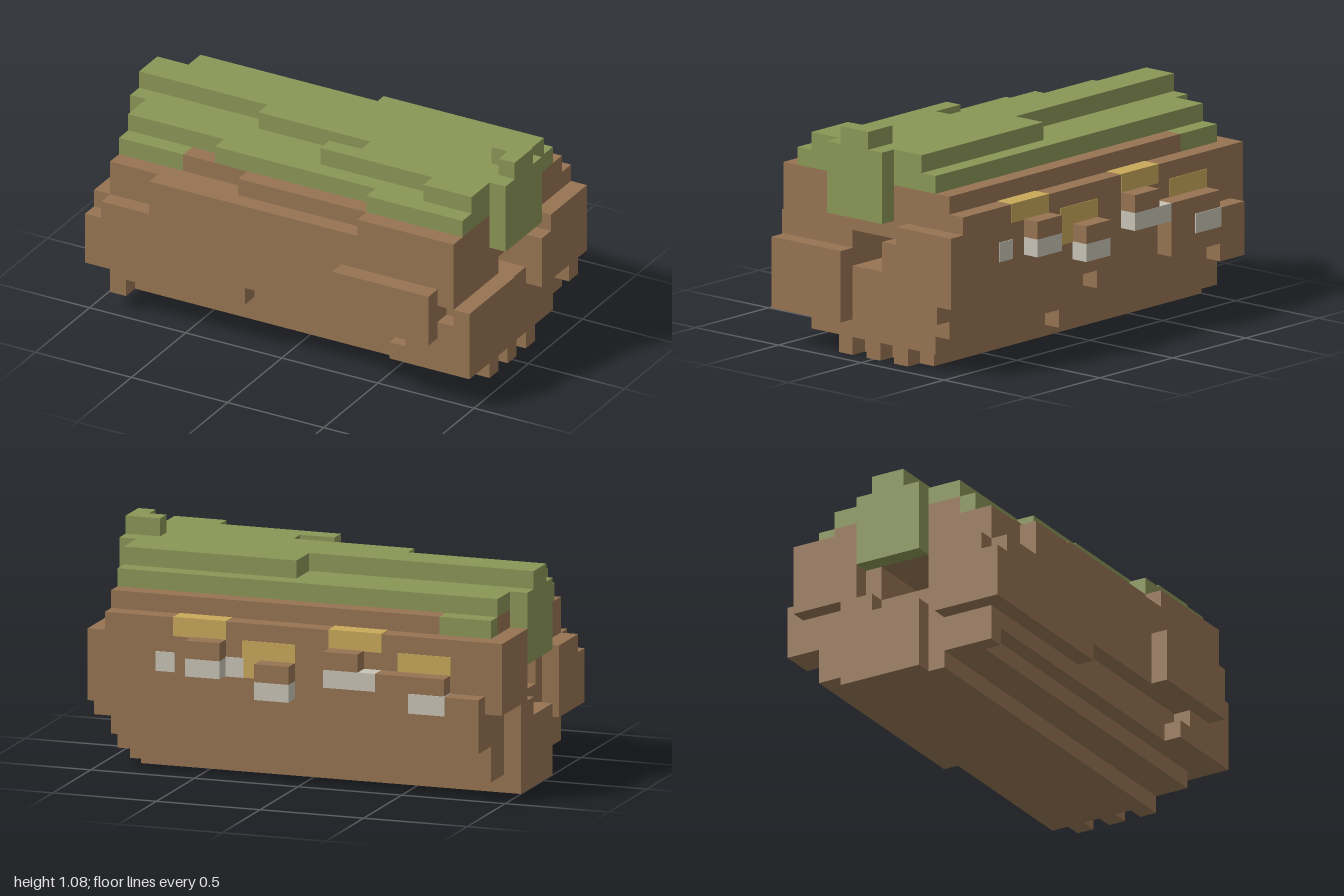
import * as THREE from 'three';
import { mergeGeometries } from 'three/addons/utils/BufferGeometryUtils.js';

const U = 1 / 12; // one block

function material(name, color) {
  const m = new THREE.MeshStandardMaterial({ color });
  m.name = name;
  return m;
}

// Box from block bounds: x 0..24, y 0..13, z 0..15; grow makes painted plates
function block([x0, x1, y0, y1, z0, z1], grow = 0) {
  const g = new THREE.BoxGeometry((x1 - x0) * U + grow, (y1 - y0) * U + grow, (z1 - z0) * U + grow);
  return g.translate(((x0 + x1) / 2 - 12) * U, (y0 + y1) / 2 * U, ((z0 + z1) / 2 - 7.5) * U);
}

export function createModel() {
  const group = new THREE.Group();
  const bark = material('bark brown', 0x967452);
  const moss = material('moss green', 0x8a9657);
  const cream = material('mushroom cream', 0xc8c3b6);
  const ochre = material('ochre wood', 0xc8a85a);

  const part = (name, mat, list, grow = 0) => {
    const mesh = new THREE.Mesh(mergeGeometries(list.map(b => block(b, grow))), mat);
    mesh.name = name;
    group.add(mesh);
  };

  // Stepped underside of the log
  part('logBottom', bark, [
    [1, 22, 0, 1, 4, 10], [22, 23, 0, 1, 9, 10], [22, 23, 0, 1, 7, 8], [22, 23, 0, 1, 5, 6],
    [1, 23, 1, 2, 3, 12], [1, 2, 1, 2, 12, 13], [1, 14, 1, 2, 2, 3],
    [1, 23, 2, 3, 2, 13], [19, 23, 2, 3, 13, 14],
    [1, 23, 3, 4, 2, 13], [1, 10, 3, 4, 13, 14], [20, 23, 3, 4, 13, 14], [1, 12, 3, 4, 1, 2],
  ]);

  // Walls around the hollow core
  part('logWalls', bark, [
    [1, 23, 4, 5, 1, 14],
    [1, 23, 5, 7, 1, 6], [1, 23, 5, 7, 9, 13],
    [1, 22, 5, 6, 13, 14], [1, 23, 6, 7, 13, 14],
    [1, 23, 7, 9, 1, 13], [4, 23, 7, 9, 13, 14],
  ]);

  // Upper bark, stepping back under the moss
  part('logTop', bark, [
    [4, 23, 9, 10, 2, 3], [1, 23, 9, 10, 3, 11], [5, 23, 9, 10, 11, 12],
    [9, 23, 9, 10, 12, 13], [17, 23, 9, 10, 13, 14],
  ]);

  // Broken rims at both ends
  part('leftRim', bark, [
    [23, 24, 2, 6, 9, 14], [23, 24, 4, 8, 1, 5], [23, 24, 4, 7, 5, 6], [23, 24, 3, 4, 2, 3],
  ]);
  part('rightRim', bark, [
    [0, 1, 5, 9, 1, 5], [0, 1, 0, 4, 4, 9], [0, 1, 4, 5, 4, 6],
    [0, 1, 3, 6, 10, 14], [0, 1, 6, 7, 10, 13],
  ]);

  // Bark plate on the front
  part('frontBarkPlate', bark, [[16, 22, 4, 7, 14, 15]]);

  // Moss blanket
  part('mossLower', moss, [
    [1, 4, 9, 10, 2, 3], [1, 5, 9, 10, 11, 12],
    [1, 7, 10, 11, 3, 11], [7, 17, 10, 11, 3, 12], [17, 23, 10, 11, 3, 13],
  ]);
  part('mossUpper', moss, [
    [0, 8, 11, 12, 6, 8], [8, 13, 11, 12, 6, 9], [13, 15, 11, 12, 4, 9], [13, 15, 11, 12, 10, 11],
    [15, 20, 11, 12, 4, 11], [20, 23, 11, 12, 4, 12],
  ]);

  // Moss hanging over the ends, with a tuft on top
  part('mossHanging', moss, [[23, 24, 8, 12, 6, 10], [0, 1, 7, 11, 5, 9]]);
  part('mossTuft', moss, [[22, 24, 12, 13, 7, 8], [23, 24, 12, 13, 8, 9]]);

  // Knobs on the back: bark caps over pale undersides
  const knobs = [[16, 18, 7], [12, 14, 6], [8, 10, 7]];
  part('knobCaps', bark, knobs.map(([a, b, y]) => [a, b, y, y + 1, 0, 1]));
  part('knobUndersides', cream, [
    ...knobs.map(([a, b, y]) => [a, b, y - 1, y, 0, 1]), [7, 8, 6, 7, 0, 1],
  ]);
  part('backBarkPlate', bark, [[3, 7, 6, 7, 0, 1], [3, 7, 4, 6, 0, 1], [1, 3, 3, 6, 0, 1]]);

  // Coloured patches, barely proud of the bark
  part('creamPatches', cream, [[3, 5, 5, 6, 0, 1], [19, 20, 6, 7, 1, 2], [15, 16, 6, 7, 1, 2]], 0.008);
  part('ochrePatches', ochre, [
    [7, 10, 8, 9, 1, 2], [16, 19, 8, 9, 1, 2], [3, 6, 7, 8, 1, 2], [12, 15, 7, 8, 1, 2], [14, 15, 6, 7, 1, 2],
  ], 0.006);

  return group;
}
